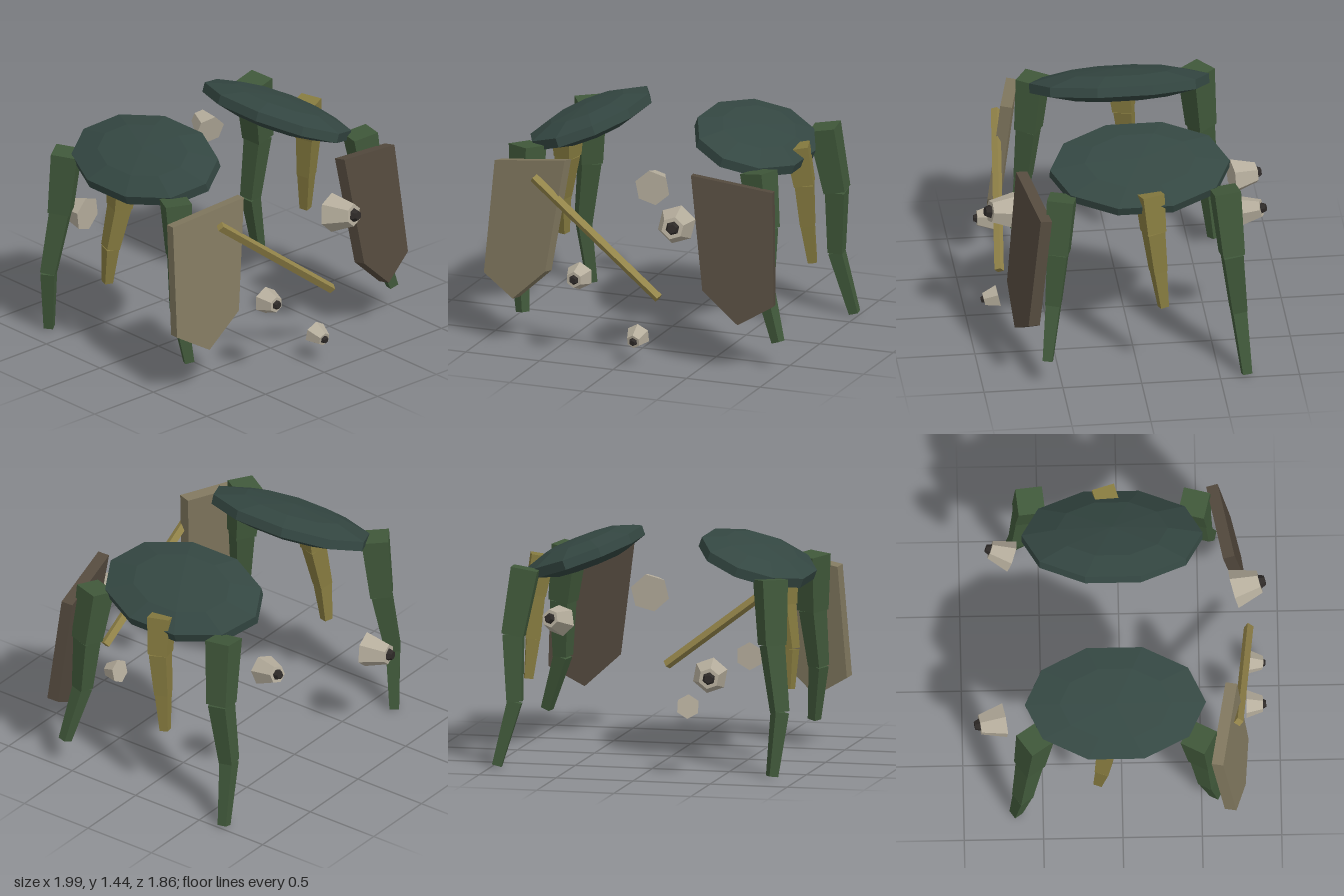
import * as THREE from 'three';

const V = (p) => new THREE.Vector3(...p);
const UP = new THREE.Vector3(0, 1, 0);
const paint = (color) =>
  new THREE.MeshStandardMaterial({ color, flatShading: true });

const shellMat = paint(0x344742);
const legMat = paint(0x40583a);
const midLegMat = paint(0x857a3f);
const bulbMat = paint(0xb5ad9c);
const tipMat = paint(0x2e2a28);
const stickMat = paint(0x94854a);

// Tapered prism running from point a to point b
function strut(name, a, b, ra, rb, sides, mat, yaw = 0) {
  const from = V(a), to = V(b);
  const geo = new THREE.CylinderGeometry(ra, rb, from.distanceTo(to), sides);
  geo.rotateY(yaw);
  const mesh = new THREE.Mesh(geo, mat);
  mesh.name = name;
  mesh.position.copy(from).add(to).multiplyScalar(0.5);
  mesh.quaternion.setFromUnitVectors(UP, from.clone().sub(to).normalize());
  return mesh;
}

// Three square tapering segments through four joints
function leg(name, joints, widths, mat, yaw) {
  const group = new THREE.Group();
  group.name = name;
  ['upperLeg', 'middleLeg', 'lowerLeg'].forEach((part, i) => {
    const [w0, w1] = widths[i];
    group.add(strut(part, joints[i], joints[i + 1],
      w0 * Math.SQRT1_2, w1 * Math.SQRT1_2, 4, mat, Math.PI / 4 + yaw));
  });
  return group;
}

// Faceted lens-shaped shell, tilted down towards the outside
function shell(name, x, tilt) {
  const geo = new THREE.SphereGeometry(1, 10, 5);
  geo.rotateY(Math.PI / 2);
  geo.scale(0.388, 0.1, 0.6);
  const mesh = new THREE.Mesh(geo, shellMat);
  mesh.name = name;
  mesh.position.set(x, 1.298, -0.04);
  mesh.rotation.z = tilt;
  return mesh;
}

// Five-cornered plate, leaning back and turned outwards
function panel(name, side, shift, color) {
  const outline = [[0.42, 1.255], [0.935, 1.17], [0.975, 0.45], [0.755, 0.32], [0.525, 0.53]];
  const shape = new THREE.Shape(
    outline.map(([x, y]) => new THREE.Vector2(side * (x + shift), y)));
  const depth = 0.075;
  const geo = new THREE.ExtrudeGeometry(shape, { depth, bevelEnabled: false });
  const normal = new THREE.Vector3(side * 0.21, 0.126, 1).normalize();
  const pos = geo.attributes.position;
  for (let i = 0; i < pos.count; i++) {
    const x = pos.getX(i), y = pos.getY(i), back = pos.getZ(i) - depth;
    const plane = 0.976 - 0.21 * (side * x - shift) - 0.126 * y;
    pos.setXYZ(i, x + normal.x * back, y + normal.y * back, plane + normal.z * back);
  }
  geo.computeVertexNormals();
  const mesh = new THREE.Mesh(geo, paint(color));
  mesh.name = name;
  return mesh;
}

// Six-sided bulb with a small dark tip
function bulb(name, base, tip, r) {
  const group = new THREE.Group();
  group.name = name;
  const neck = V(base).lerp(V(tip), 0.83).toArray();
  group.add(strut('bulbBody', neck, base, r * 0.58, r, 6, bulbMat));
  group.add(strut('bulbTip', tip, neck, r * 0.24, r * 0.36, 6, tipMat));
  return group;
}

export function createModel() {
  const model = new THREE.Group();
  model.name = 'model';

  model.add(shell('leftShell', 0.545, -0.35), shell('rightShell', -0.57, 0.35));

  // Corner legs
  const wide = [[0.17, 0.14], [0.125, 0.095], [0.09, 0.06]];
  model.add(
    leg('frontLeftLeg', [[0.78, 1.25, 0.48], [0.83, 0.89, 0.51],
      [0.84, 0.53, 0.54], [0.955, 0.18, 0.59]], wide, legMat, -0.26),
    leg('backLeftLeg', [[0.81, 1.26, -0.55], [0.88, 0.84, -0.585],
      [0.86, 0.42, -0.63], [0.965, 0.015, -0.67]], wide, legMat, 0.12),
    leg('frontRightLeg', [[-0.79, 1.25, 0.48], [-0.79, 0.89, 0.51],
      [-0.82, 0.53, 0.54], [-0.78, 0.18, 0.59]], wide, legMat, -0.5),
    leg('backRightLeg', [[-0.78, 1.25, -0.55], [-0.8, 0.84, -0.585],
      [-0.86, 0.42, -0.63], [-0.82, 0.015, -0.67]], wide, legMat, 0.62));

  // Shorter middle legs
  const slim = [[0.145, 0.125], [0.115, 0.09], [0.085, 0.055]];
  model.add(
    leg('middleLeftLeg', [[0.82, 1.27, -0.07], [0.86, 1.02, -0.09],
      [0.87, 0.74, -0.12], [0.89, 0.49, -0.15]], slim, midLegMat, 0.3),
    leg('middleRightLeg', [[-0.74, 1.22, -0.07], [-0.75, 1.02, -0.09],
      [-0.8, 0.74, -0.12], [-0.8, 0.49, -0.15]], slim, midLegMat, -0.3));

  model.add(panel('leftPanel', 1, 0, 0x544a3e), panel('rightPanel', -1, 0.018, 0x81785f));

  model.add(strut('stick', [-0.645, 1.12, 0.735], [0.235, 0.45, 0.815],
    0.031, 0.031, 4, stickMat, 0.15));

  // Loose bulbs in front and behind
  [
    [[0.32, 0.92, 0.72], [0.365, 0.95, 0.92], 0.125],
    [[-0.31, 0.53, 0.79], [-0.31, 0.53, 0.915], 0.09],
    [[0.095, 0.19, 0.805], [0.095, 0.165, 0.915], 0.078],
    [[-0.435, 0.655, -0.735], [-0.47, 0.66, -0.925], 0.115],
    [[0.55, 0.955, -0.67], [0.595, 0.995, -0.835], 0.1],
  ].forEach(([base, tip, r], i) => model.add(bulb(`bulb${i + 1}`, base, tip, r)));

  return model;
}
